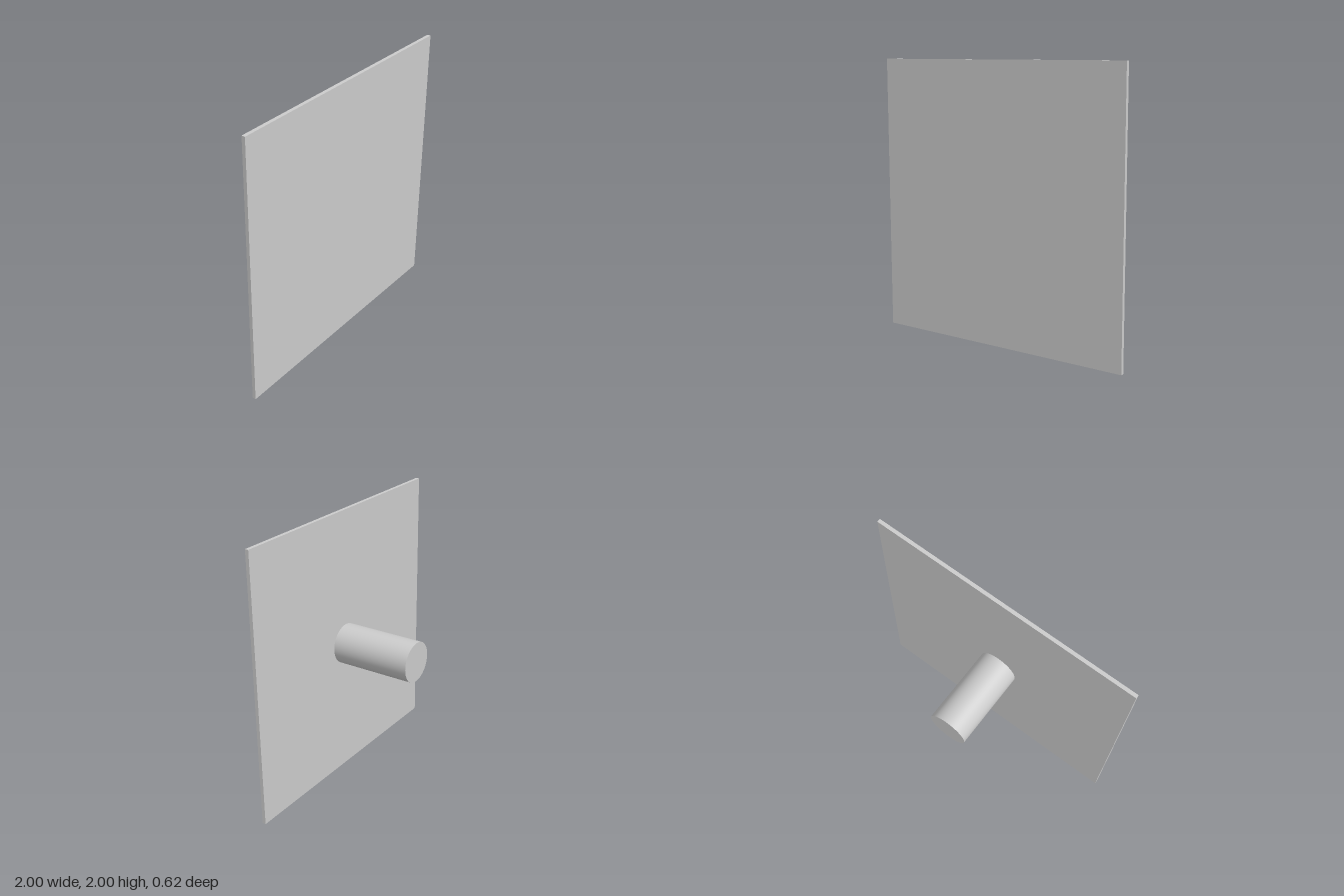
import * as THREE from 'three';

export function createModel() {
  const group = new THREE.Group();
  const material = new THREE.MeshStandardMaterial({ color: 0xcccccc });
  const size = 2, thickness = 0.026, front = 0.312, radius = 0.148;
  const plateBack = front - thickness;
  const stemLength = plateBack + front;

  // Thin square plate at the front
  const plate = new THREE.Mesh(new THREE.BoxGeometry(size, size, thickness), material);
  plate.name = 'plate';
  plate.position.set(0, size / 2, front - thickness / 2);
  group.add(plate);

  // Round stem standing out from the middle of the plate's back
  const stemGeometry = new THREE.CylinderGeometry(radius, radius, stemLength, 64);
  stemGeometry.rotateX(Math.PI / 2);
  const stem = new THREE.Mesh(stemGeometry, material);
  stem.name = 'stem';
  stem.position.set(0, size / 2, plateBack - stemLength / 2);
  group.add(stem);

  return group;
}
